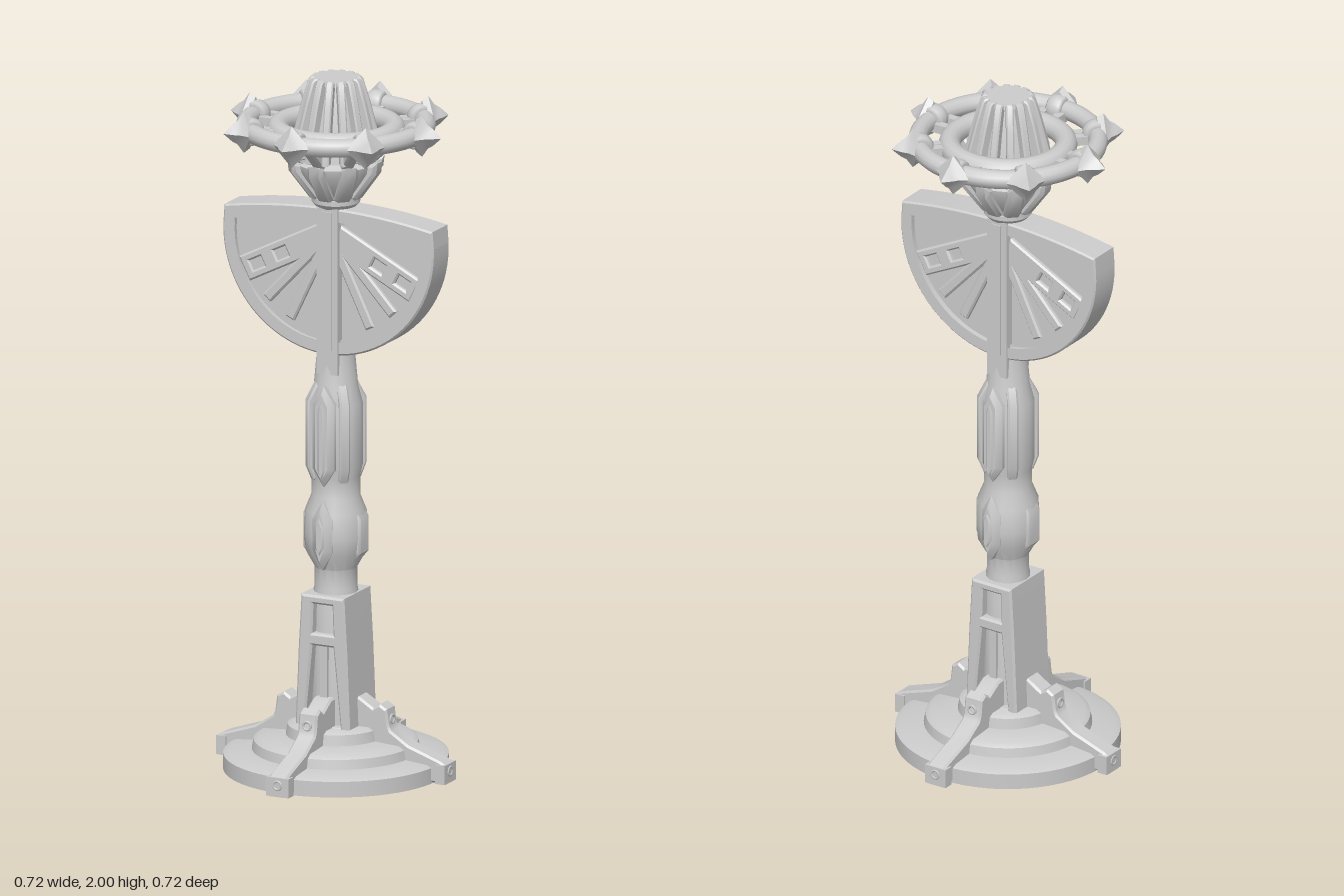
import * as THREE from 'three';
import { toCreasedNormals } from 'three/addons/utils/BufferGeometryUtils.js';

const material = new THREE.MeshStandardMaterial({ color: 0xcccccc, side: THREE.DoubleSide });

function add(parent, name, geometry) {
  const mesh = new THREE.Mesh(geometry, material);
  mesh.name = name;
  parent.add(mesh);
  return mesh;
}

const toShape = (points) => new THREE.Shape(points.map(([x, y]) => new THREE.Vector2(x, y)));

// Flat outline in x/y, given a thickness centred on z = 0
function plate(shape, depth, bevel = 0) {
  const g = new THREE.ExtrudeGeometry(shape, {
    depth: depth - 2 * bevel, curveSegments: 24, bevelEnabled: bevel > 0,
    bevelSize: bevel, bevelOffset: -bevel, bevelThickness: bevel, bevelSegments: 1,
  });
  return toCreasedNormals(g.translate(0, 0, -depth / 2 + bevel), 0.6);
}

function lathe(points, segments) {
  return toCreasedNormals(
    new THREE.LatheGeometry(points.map(([r, y]) => new THREE.Vector2(r, y)), segments), 0.6);
}

// Repeats a part around y; build(group, index) models it pointing along +x
function radial(parent, name, count, build, start = 0) {
  for (let i = 0; i < count; i++) {
    const g = new THREE.Group();
    g.name = name;
    g.rotation.y = start + (i / count) * Math.PI * 2;
    build(g, i);
    parent.add(g);
  }
}

function buildBase(root) {
  add(root, 'baseDisc', lathe([[0, 0], [0.315, 0], [0.315, 0.045], [0.3, 0.052], [0.235, 0.058],
    [0.23, 0.085], [0.215, 0.095], [0.14, 0.1], [0.135, 0.13], [0.12, 0.138], [0, 0.138]], 64));
  const leg = [[0.05, 0.01], [0.358, 0.002], [0.358, 0.055], [0.34, 0.066], [0.24, 0.1],
    [0.185, 0.135], [0.178, 0.15], [0.172, 0.195], [0.15, 0.208], [0.13, 0.195], [0.085, 0.222], [0.05, 0.222]];
  radial(root, 'baseLeg', 4, (g) => {
    add(g, 'legArm', plate(toShape(leg), 0.058, 0.006));
    add(g, 'legFoot', new THREE.BoxGeometry(0.03, 0.055, 0.07)).position.set(0.343, 0.03, 0);
    // Ringed bolts on the foot and the knee
    for (const [r, y] of [[0.357, 0.035], [0.176, 0.163]]) {
      const ring = add(g, 'bolt', new THREE.TorusGeometry(0.012, 0.004, 6, 16));
      ring.position.set(r, y, 0);
      ring.rotation.y = Math.PI / 2;
    }
  });
}

function buildColumn(root) {
  add(root, 'shaft', lathe([[0.07, 0.1], [0.066, 0.5], [0.06, 0.53], [0.06, 0.585], [0.085, 0.63],
    [0.09, 0.68], [0.086, 0.75], [0.068, 0.795], [0.068, 0.85], [0.075, 0.88], [0.075, 1.06],
    [0.062, 1.11], [0.054, 1.2], [0.05, 1.25]], 16));

  // Tapered pedestal with an open frame at front and back
  const frame = toShape([[-0.086, 0.12], [0.086, 0.12], [0.076, 0.36], [0.067, 0.515], [-0.067, 0.515], [-0.076, 0.36]]);
  frame.holes.push(
    toShape([[-0.056, 0.14], [-0.033, 0.37], [0.033, 0.37], [0.056, 0.14]]),
    toShape([[-0.033, 0.405], [-0.03, 0.49], [0.03, 0.49], [0.033, 0.405]]));
  add(root, 'pedestalFrame', plate(frame, 0.17, 0.006));
  for (const s of [-1, 1]) {
    const strip = add(root, 'pedestalRib', new THREE.BoxGeometry(0.022, 0.25, 0.02));
    strip.position.set(0, 0.25, s * 0.066);
  }

  // Pointed lugs on the lower collar and long plates on the upper one
  const lug = (w, y0, y1, tip) => toShape([[0, y0], [w, y0 + tip], [w, y1 - tip], [0, y1], [-w, y1 - tip], [-w, y0 + tip]]);
  add(root, 'collarLug', plate(lug(0.032, 0.59, 0.79, 0.055), 0.205, 0.02));
  add(root, 'collarLugInset', plate(lug(0.014, 0.635, 0.745, 0.025), 0.215, 0.006));
  add(root, 'upperPlate', plate(lug(0.034, 0.83, 1.12, 0.05), 0.182, 0.015));
  add(root, 'upperKeel', plate(lug(0.012, 0.85, 1.08, 0.03), 0.192, 0.006));
  radial(root, 'upperSideFin', 4, (g) => {
    add(g, 'fin', plate(toShape([[0.04, 0.84], [0.07, 0.84], [0.086, 0.88], [0.086, 1.07], [0.06, 1.12], [0.04, 1.12]]), 0.03, 0.005));
  }, Math.PI / 4);
  radial(root, 'collarSideClip', 2, (g) => {
    add(g, 'clip', plate(toShape([[0.04, 0.6], [0.06, 0.6], [0.09, 0.635], [0.09, 0.735], [0.06, 0.785], [0.04, 0.785]]), 0.06, 0.006));
  });
}

function buildFan(root) {
  const cy = 1.535;
  const outline = new THREE.Shape();
  outline.moveTo(-0.326, 1.6);
  outline.quadraticCurveTo(0, 1.66, 0.326, 1.6);
  outline.lineTo(0.33, 1.55);
  outline.absarc(0, cy, 0.33, 0.045, Math.PI - 0.045, true);
  outline.closePath();
  const opening = new THREE.Path();
  opening.moveTo(-0.297, 1.57);
  opening.quadraticCurveTo(0, 1.625, 0.297, 1.57);
  opening.lineTo(0.297, 1.55);
  opening.absarc(0, cy, 0.297, 0.05, Math.PI - 0.05, true);
  const rim = outline.clone();
  rim.holes.push(opening);
  add(root, 'fanRim', plate(rim, 0.1, 0.005));
  add(root, 'fanPanel', plate(outline, 0.056, 0.012));
  add(root, 'fanPost', new THREE.BoxGeometry(0.066, 0.48, 0.112)).position.set(0, 1.39, 0);
  add(root, 'fanPostRidge', new THREE.BoxGeometry(0.03, 0.4, 0.12)).position.set(0, 1.42, 0);

  // Spokes spread from the top of the post, mirrored; the widest has two slots
  for (const s of [-1, 1]) {
    for (const [angle, width, slots] of [[0.47, 0.075, true], [0.82, 0.03, false], [1.12, 0.03, false]]) {
      const length = slots ? 0.3 : 0.29;
      const spoke = toShape([[0.02, -width / 2], [length, -width / 2], [length, width / 2], [0.02, width / 2]]);
      if (slots) {
        for (const x of [0.15, 0.235]) {
          spoke.holes.push(toShape([[x, -0.015], [x, 0.015], [x + 0.04, 0.015], [x + 0.04, -0.015]]));
        }
      }
      const mesh = add(root, 'fanSpoke', plate(spoke, 0.084, 0.005));
      mesh.position.y = 1.555;
      mesh.rotation.z = s > 0 ? -angle : Math.PI + angle;
    }
  }
}

function buildCrown(root) {
  add(root, 'neck', lathe([[0.05, 1.58], [0.055, 1.625], [0.068, 1.64], [0.068, 1.655], [0.05, 1.665]], 24));
  add(root, 'cup', lathe([[0.04, 1.65], [0.066, 1.665], [0.112, 1.735], [0.116, 1.755], [0.09, 1.765],
    [0.085, 1.79], [0, 1.79]], 24));

  // Faceted leaves round the cup, and struts rising to the inner ring
  const leaf = [[0.05, 1.645], [0.075, 1.655], [0.134, 1.735], [0.138, 1.768], [0.105, 1.76], [0.06, 1.7]];
  const strut = [[0.085, 1.745], [0.108, 1.755], [0.185, 1.825], [0.165, 1.845], [0.14, 1.835], [0.085, 1.785]];
  radial(root, 'cupSupport', 8, (g) => {
    add(g, 'leaf', plate(toShape(leaf), 0.05, 0.01));
    add(g, 'strut', plate(toShape(strut), 0.034, 0.006));
  });

  for (const [name, radius, tube, y] of [['innerRing', 0.163, 0.031, 1.848], ['outerRing', 0.252, 0.027, 1.86]]) {
    const ring = add(root, name, new THREE.TorusGeometry(radius, tube, 12, 64));
    ring.rotation.x = Math.PI / 2;
    ring.position.y = y;
  }

  // Paired bars join the rings, with a spiked collar outside each
  radial(root, 'ringSpike', 8, (g, i) => {
    const offset = i % 2 ? 0.014 : 0.027;
    for (const s of [-1, 1]) {
      add(g, 'ringBar', new THREE.BoxGeometry(0.1, 0.026, 0.024)).position.set(0.208, 1.85, s * offset);
    }
    const collar = add(g, 'spikeCollar', new THREE.TorusGeometry(0.028, 0.012, 8, 20));
    collar.position.set(0.25, 1.86, 0);
    collar.scale.z = 2.2;
    const spike = add(g, 'spike', lathe([[0, -0.012], [0.048, -0.006], [0.06, 0.012], [0.034, 0.03], [0.024, 0.046], [0, 0.072]], 4));
    spike.position.set(0.258, 1.86, 0);
    spike.rotation.z = -Math.PI / 2;
  });

  // Central lamp with tapering ribs and a flat cap
  add(root, 'lampCore', lathe([[0.1, 1.77], [0.086, 1.86], [0.064, 1.95], [0.052, 1.992], [0, 1.994]], 28));
  const rib = [[0.06, 1.77], [0.126, 1.77], [0.118, 1.84], [0.095, 1.93], [0.076, 1.992], [0.068, 2], [0.04, 2]];
  radial(root, 'lampRib', 14, (g) => add(g, 'rib', plate(toShape(rib), 0.022, 0.004)));
  add(root, 'lampCap', new THREE.CylinderGeometry(0.06, 0.064, 0.016, 28)).position.set(0, 1.992, 0);
}

export function createModel() {
  const root = new THREE.Group();
  root.name = 'ornateLampPost';
  buildBase(root);
  buildColumn(root);
  buildFan(root);
  buildCrown(root);
  return root;
}
